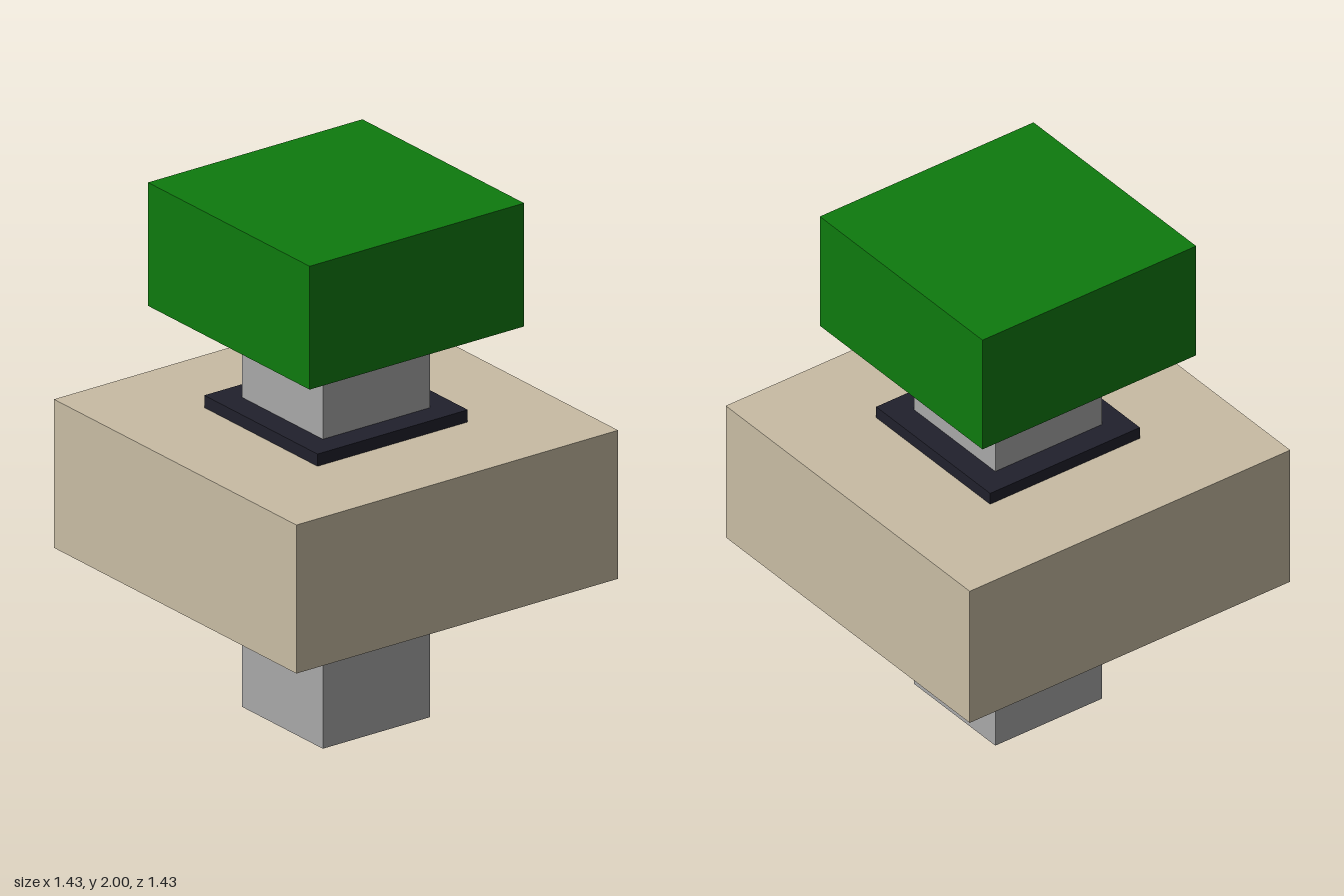
import * as THREE from 'three';

const paint = (name, color) => {
  const material = new THREE.MeshStandardMaterial({ color });
  material.name = name;
  return material;
};

export function createModel() {
  const group = new THREE.Group();
  group.name = 'pushButton';

  const grey = paint('grey', 0xa8a8a8);
  const tan = paint('tan', 0xc8bca4);
  const navy = paint('dark navy', 0x20202c);
  const green = paint('green', 0x0e7a0e);

  // Square block of a given width between two heights
  const block = (name, width, bottom, top, material) => {
    const mesh = new THREE.Mesh(new THREE.BoxGeometry(width, top - bottom, width), material);
    mesh.name = name;
    mesh.position.y = (bottom + top) / 2;
    group.add(mesh);
  };

  block('shaft', 0.475, 0, 1.53, grey);
  block('housing', 1.428, 0.573, 1.145, tan);
  block('collar', 0.667, 1.145, 1.192, navy);
  block('cap', 0.952, 1.525, 2, green);

  return group;
}
